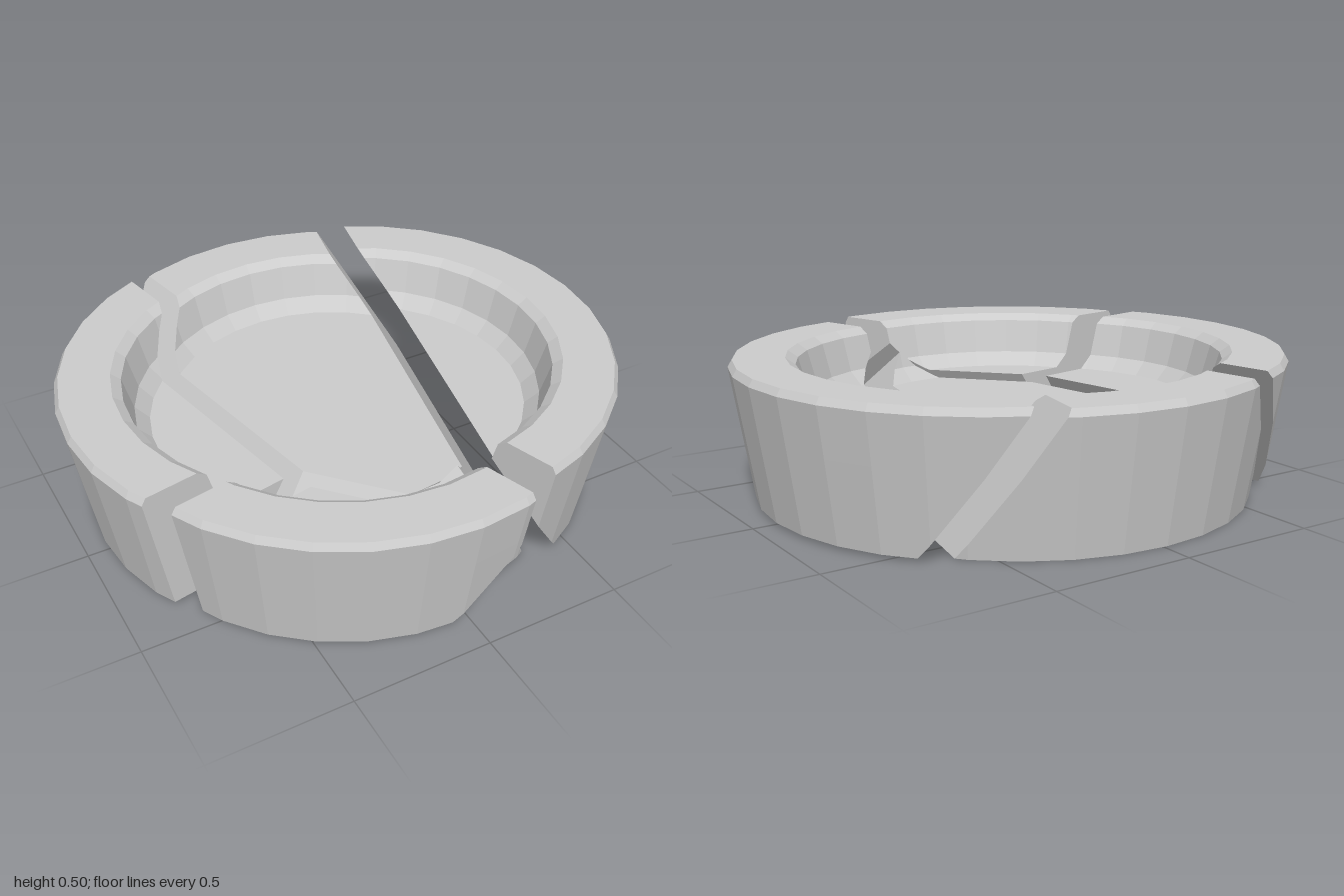
import * as THREE from 'three';

const SIDES = 32;
const V = (x, y, z) => new THREE.Vector3(x, y, z);
const plane = (x, y, z, c) => ({ n: V(x, y, z), c });          // keeps n.p <= c
const flip = p => ({ n: p.n.clone().negate(), c: -p.c });

// Stacked rings of the dish: lower and upper [y, inner radius, outer radius], and which faces are skin
const RINGS = [
  { lo: [0, 0, 0.59], hi: [0.29, 0, 0.59], skin: ['top', 'bottom'] },
  { lo: [0, 0.59, 0.83], hi: [0.29, 0.59, 0.877], skin: ['outer', 'bottom'] },
  { lo: [0.29, 0.59, 0.877], hi: [0.34, 0.64, 0.885], skin: ['outer', 'inner'] },
  { lo: [0.34, 0.64, 0.885], hi: [0.465, 0.675, 0.905], skin: ['outer', 'inner'] },
  { lo: [0.465, 0.675, 0.905], hi: [0.49, 0.71, 0.89], skin: ['outer', 'inner', 'top'] },
];

// One convex block of a ring
function cell({ lo, hi, skin }, i) {
  const at = (r, y, k) => {
    const a = (k / SIDES) * Math.PI * 2;
    return V(r * Math.sin(a), y, r * Math.cos(a));
  };
  const corners = k => [at(lo[1], lo[0], k), at(lo[2], lo[0], k), at(hi[2], hi[0], k), at(hi[1], hi[0], k)];
  const [a, b, c, d] = corners(i);
  const [e, f, g, h] = corners(i + 1);
  const faces = {
    outer: [b, f, g, c], inner: [a, d, h, e], top: [d, c, g, h],
    bottom: [a, e, f, b], start: [a, b, c, d], end: [h, g, f, e],
  };
  return Object.entries(faces).map(([name, pts]) => ({ pts, show: skin.includes(name) }));
}

// Cuts a convex block with a plane and caps the cut
function cut(faces, { n, c }) {
  const result = [], rim = [];
  for (const { pts, show } of faces) {
    const kept = [];
    pts.forEach((p, i) => {
      const q = pts[(i + 1) % pts.length];
      const dp = n.dot(p) - c, dq = n.dot(q) - c;
      if (dp <= 0) kept.push(p);
      if ((dp <= 0) !== (dq <= 0)) {
        const m = p.clone().lerp(q, dp / (dp - dq));
        kept.push(m);
        if (!rim.some(r => r.distanceTo(m) < 1e-6)) rim.push(m);
      }
    });
    if (kept.length > 2) result.push({ pts: kept, show });
  }
  if (rim.length > 2) {
    const mid = rim.reduce((s, p) => s.add(p), V(0, 0, 0)).divideScalar(rim.length);
    const u = rim[0].clone().sub(mid).normalize();
    const w = n.clone().normalize().cross(u);
    const angle = p => Math.atan2(p.clone().sub(mid).dot(w), p.clone().sub(mid).dot(u));
    rim.sort((p, q) => angle(p) - angle(q));
    result.push({ pts: rim, show: true });
  }
  return result;
}

// The dish limited by a set of planes, as one flat-shaded mesh
function shard(name, planes, offset) {
  const pos = [];
  for (const ring of RINGS) {
    for (let i = 0; i < SIDES; i++) {
      for (const { pts, show } of planes.reduce(cut, cell(ring, i))) {
        if (!show) continue;
        for (let k = 1; k < pts.length - 1; k++) {
          const t = new THREE.Triangle(pts[0], pts[k], pts[k + 1]);
          if (t.getArea() > 1e-9) for (const p of [t.a, t.b, t.c]) pos.push(p.x, p.y, p.z);
        }
      }
    }
  }
  const geo = new THREE.BufferGeometry();
  geo.setAttribute('position', new THREE.Float32BufferAttribute(pos, 3));
  geo.computeVertexNormals();
  const mesh = new THREE.Mesh(geo, new THREE.MeshStandardMaterial({ color: 0xcccccc, flatShading: true }));
  mesh.name = name;
  mesh.position.set(...offset);
  return mesh;
}

export function createModel() {
  const group = new THREE.Group();
  group.name = 'brokenDish';

  // Sloping cracks round the middle piece
  const leftCrack = plane(0.98, 0.6, 0.199, 0.492);
  const rightCrack = plane(-0.98, 0.66, 0.199, 0.523);
  const frontCrack = plane(-0.73, 0.6, 0.68, 0.587);
  // Upright cracks between the outer pieces
  const rightSplit = plane(0.182, 0, 0.983, 0.25);
  const frontSplit = plane(0.949, 0, -0.316, -0.08);

  group.add(
    shard('middlePiece', [leftCrack, rightCrack, frontCrack], [-0.015, 0, -0.053]),
    shard('leftPiece', [flip(leftCrack), flip(frontSplit)], [0.095, 0.012, -0.02]),
    shard('rightPiece', [flip(rightCrack), rightSplit], [-0.095, 0.012, -0.03]),
    shard('frontPiece', [flip(frontCrack), flip(rightSplit), frontSplit], [-0.03, 0.012, 0.05]),
  );
  return group;
}
